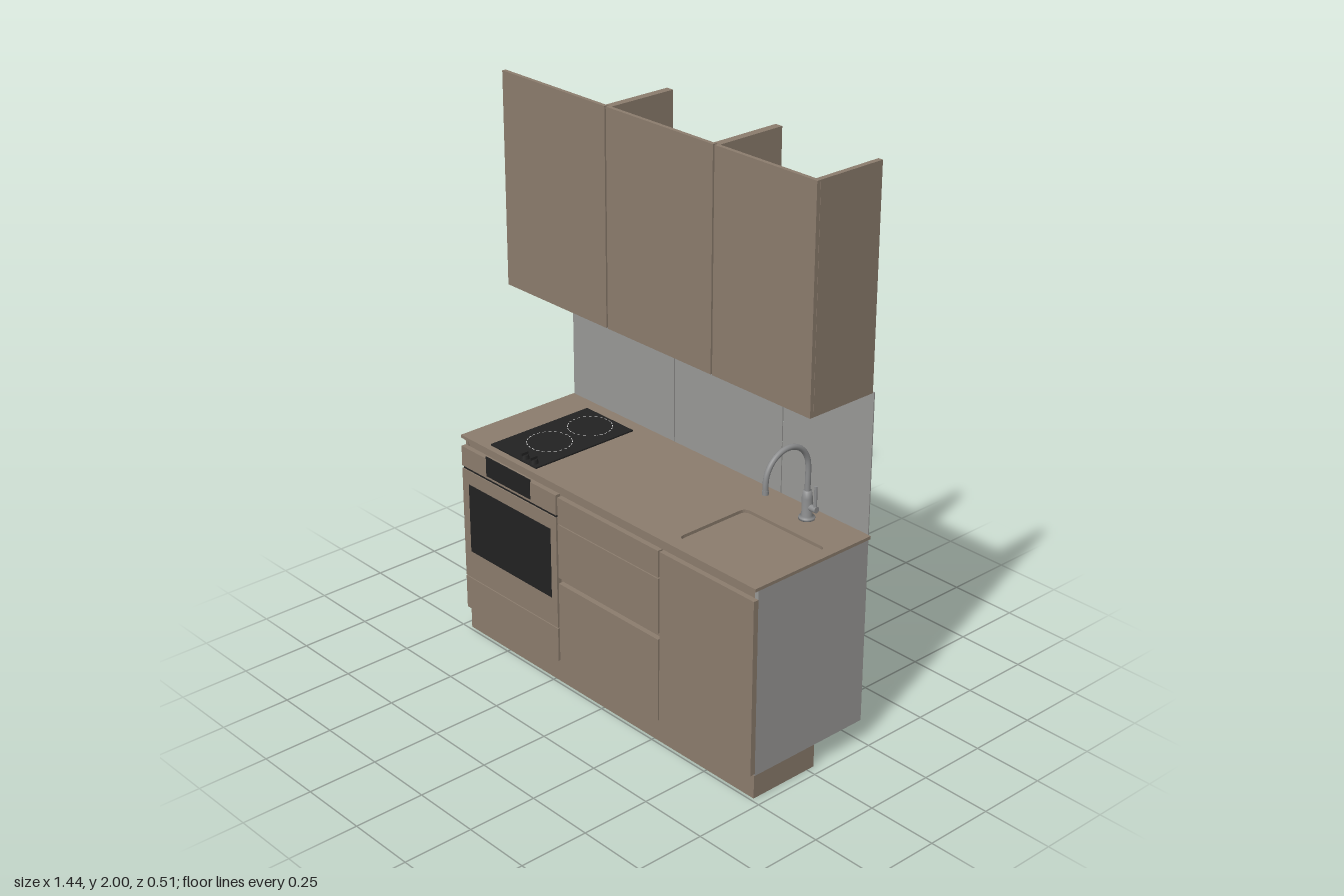
import * as THREE from 'three';

const mat = (name, color, side = THREE.FrontSide) => {
  const m = new THREE.MeshStandardMaterial({ color, side });
  m.name = name;
  return m;
};

export function createModel() {
  const kitchen = new THREE.Group();
  kitchen.name = 'kitchenUnit';
  const wood = mat('taupe', 0x8b7c6d);
  const grey = mat('panelGrey', 0x999896);
  const black = mat('black', 0x222222);
  const steel = mat('steel', 0x8c8d8e);
  const white = mat('ringWhite', 0xd8d8d8, THREE.DoubleSide);

  const add = (name, geo, material, x = 0, y = 0, z = 0) => {
    const mesh = new THREE.Mesh(geo, material);
    mesh.name = name;
    mesh.position.set(x, y, z);
    kitchen.add(mesh);
    return mesh;
  };
  // box given by its extents along each axis
  const box = (name, m, x0, x1, y0, y1, z0, z1) =>
    add(name, new THREE.BoxGeometry(x1 - x0, y1 - y0, z1 - z0), m,
      (x0 + x1) / 2, (y0 + y1) / 2, (z0 + z1) / 2);

  // base carcass
  box('plinth', wood, -0.715, 0.715, 0, 0.085, -0.03, 0.238);
  box('baseFloor', wood, -0.715, 0.7, 0.085, 0.1, -0.245, 0.235);
  box('baseBack', wood, -0.715, 0.7, 0.1, 0.72, -0.243, -0.232);
  box('baseSideRight', wood, -0.715, -0.7, 0.1, 0.75, -0.245, 0.235);
  box('baseSideLeft', grey, 0.7, 0.715, 0.083, 0.75, -0.245, 0.235);
  box('frontPanel', wood, -0.7, 0.7, 0.1, 0.75, 0.215, 0.232);
  for (const x of [-0.21, 0.287]) box('baseDivider', wood, x - 0.008, x + 0.008, 0.1, 0.72, -0.23, 0.215);

  // drawer and door fronts
  const fronts = [
    ['ovenDrawer', -0.715, -0.216, 0.09, 0.215],
    ['ovenDoor', -0.715, -0.216, 0.219, 0.636],
    ['ovenControlPanel', -0.715, -0.216, 0.646, 0.72],
    ['lowerDrawer', -0.207, 0.284, 0.09, 0.394],
    ['middleDrawer', -0.207, 0.284, 0.416, 0.616],
    ['upperDrawer', -0.207, 0.284, 0.62, 0.716],
    ['sinkDoor', 0.291, 0.715, 0.09, 0.716],
  ];
  for (const [name, x0, x1, y0, y1] of fronts) box(name, wood, x0, x1, y0, y1, 0.235, 0.254);
  box('ovenVent', black, -0.71, -0.218, 0.636, 0.646, 0.232, 0.25);
  box('ovenWindow', black, -0.68, -0.245, 0.325, 0.585, 0.252, 0.2555);
  box('ovenDisplay', black, -0.58, -0.347, 0.655, 0.728, 0.252, 0.2555);

  // countertop with rounded sink opening
  const top = new THREE.Shape();
  top.moveTo(-0.718, -0.252).lineTo(0.718, -0.252).lineTo(0.718, 0.252).lineTo(-0.718, 0.252).closePath();
  const sx0 = 0.32, sx1 = 0.68, sy0 = -0.2, sy1 = 0.09, r = 0.025;
  const hole = new THREE.Path();
  hole.moveTo(sx0 + r, sy0);
  hole.lineTo(sx1 - r, sy0).quadraticCurveTo(sx1, sy0, sx1, sy0 + r);
  hole.lineTo(sx1, sy1 - r).quadraticCurveTo(sx1, sy1, sx1 - r, sy1);
  hole.lineTo(sx0 + r, sy1).quadraticCurveTo(sx0, sy1, sx0, sy1 - r);
  hole.lineTo(sx0, sy0 + r).quadraticCurveTo(sx0, sy0, sx0 + r, sy0);
  top.holes.push(hole);
  const topGeo = new THREE.ExtrudeGeometry(top, { depth: 0.011, bevelEnabled: false, curveSegments: 6 });
  topGeo.rotateX(-Math.PI / 2);
  add('countertop', topGeo, wood, 0, 0.749, 0);
  box('sinkFloor', wood, sx0 - 0.01, sx1 + 0.01, 0.735, 0.749, -sy1 - 0.01, -sy0 + 0.01);

  // hob with ring markings and knobs
  box('hob', black, -0.585, -0.345, 0.759, 0.765, -0.2, 0.228);
  for (const z of [0.07, -0.11]) {
    for (let i = 0; i < 24; i++) {
      const dash = new THREE.RingGeometry(0.076, 0.079, 3, 1, (i / 24) * Math.PI * 2, 0.15);
      dash.rotateX(-Math.PI / 2);
      add('hobRingDash', dash, white, -0.465, 0.766, z);
    }
  }
  for (const x of [-0.425, -0.378]) {
    add('hobKnob', new THREE.CylinderGeometry(0.013, 0.016, 0.014, 20), black, x, 0.772, 0.21);
    box('knobGrip', black, x - 0.004, x + 0.004, 0.778, 0.788, 0.197, 0.225);
  }

  // splashback panels
  for (const [x0, x1] of [[-0.715, -0.194], [-0.19, 0.318], [0.322, 0.706]])
    box('splashback', grey, x0, x1, 0.755, 1.25, -0.256, -0.252);

  // wall cabinets: open at the top and the back
  for (const [x0, x1] of [[-0.715, -0.211], [-0.204, 0.279], [0.286, 0.71]])
    box('wallCabinetDoor', wood, x0, x1, 1.253, 2, 0.016, 0.03);
  for (const [x0, x1] of [[-0.22, -0.192], [0.268, 0.296], [0.692, 0.71]])
    box('wallCabinetSide', wood, x0, x1, 1.253, 2, -0.242, 0.015);
  for (const [x0, x1] of [[-0.192, 0.268], [0.296, 0.692]])
    box('wallCabinetFloor', wood, x0, x1, 1.253, 1.272, -0.242, 0.015);

  // extractor hood: raised frame around a sunken plate
  box('hoodPlate', black, -0.7, -0.225, 1.262, 1.268, -0.23, 0.012);
  box('hoodInset', black, -0.68, -0.25, 1.268, 1.272, -0.212, -0.002);
  for (const z of [-0.232, 0.008]) box('hoodRim', black, -0.705, -0.222, 1.262, 1.278, z - 0.006, z + 0.006);
  for (const x of [-0.699, -0.228]) box('hoodRim', black, x - 0.006, x + 0.006, 1.262, 1.278, -0.238, 0.014);

  // tap: body, arched spout and side lever
  const tx = 0.5, tz = -0.188;
  const profile = [[0, 0], [0.027, 0], [0.027, 0.008], [0.018, 0.012], [0.018, 0.075], [0.014, 0.1], [0, 0.1]];
  add('tapBody', new THREE.LatheGeometry(profile.map(([a, b]) => new THREE.Vector2(a, b)), 24), steel, tx, 0.76, tz);
  const points = [new THREE.Vector3(0, 0.82, tz), new THREE.Vector3(0, 0.89, tz)];
  for (let i = 0; i <= 10; i++) {
    const a = Math.PI * (1 - i / 10);
    points.push(new THREE.Vector3(0, 0.945 + 0.094 * Math.sin(a), -0.094 + 0.094 * Math.cos(a)));
  }
  points.push(new THREE.Vector3(0, 0.918, 0));
  add('tapSpout', new THREE.TubeGeometry(new THREE.CatmullRomCurve3(points), 60, 0.0095, 14), steel, tx);
  add('spoutTip', new THREE.CylinderGeometry(0.0105, 0.0105, 0.014, 16), steel, tx, 0.917, 0);
  const stub = add('tapLeverStub', new THREE.CylinderGeometry(0.011, 0.011, 0.045, 16), steel, tx + 0.02, 0.805, tz);
  stub.rotation.z = Math.PI / 2;
  add('tapLever', new THREE.CylinderGeometry(0.005, 0.006, 0.09, 12), steel, tx + 0.036, 0.842, tz);

  return kitchen;
}
